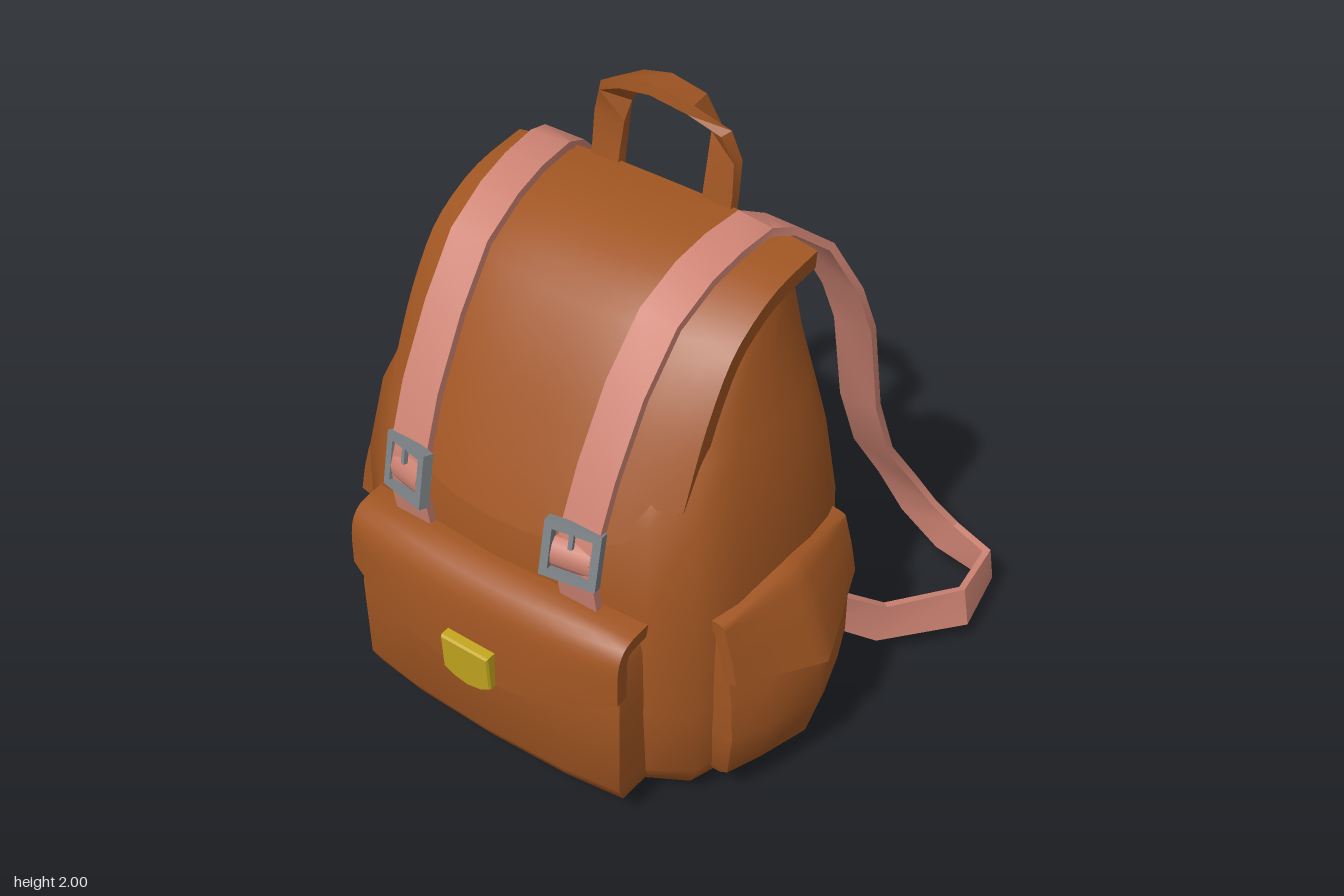
import * as THREE from 'three';
import { toCreasedNormals } from 'three/addons/utils/BufferGeometryUtils.js';

const material = (name, color) => {
  const m = new THREE.MeshStandardMaterial({ color });
  m.name = name;
  return m;
};
const V = (x, y, z) => new THREE.Vector3(x, y, z);

// Closed skin over rows of equal loops; each loop is a front half followed by a reversed back half.
function loft(rows, crease = 0.7) {
  const n = rows[0].length, pos = [], idx = [];
  rows.forEach(r => r.forEach(p => pos.push(p.x, p.y, p.z)));
  const quad = (a, b, c, d) => idx.push(a, b, c, a, c, d);
  for (let r = 0; r < rows.length - 1; r++) {
    for (let i = 0; i < n; i++) {
      const j = (i + 1) % n;
      quad(r * n + i, r * n + j, (r + 1) * n + j, (r + 1) * n + i);
    }
  }
  const last = (rows.length - 1) * n;
  for (let i = 0; i < n / 2 - 1; i++) {
    quad(n - 1 - i, n - 2 - i, i + 1, i);
    quad(last + i, last + i + 1, last + n - 2 - i, last + n - 1 - i);
  }
  // Turn the faces outward
  let volume = 0;
  const at = i => V(pos[i * 3], pos[i * 3 + 1], pos[i * 3 + 2]);
  for (let i = 0; i < idx.length; i += 3) volume += at(idx[i]).dot(at(idx[i + 1]).cross(at(idx[i + 2])));
  if (volume < 0) idx.reverse();
  const g = new THREE.BufferGeometry();
  g.setAttribute('position', new THREE.Float32BufferAttribute(pos, 3));
  g.setIndex(idx);
  return toCreasedNormals(g, crease);
}

// Flat band through points [x, y, z, width direction x, y, z]
function ribbon(points, half, thick) {
  const P = points.map(p => V(p[0], p[1], p[2]));
  return loft(points.map((p, i) => {
    const t = P[Math.min(i + 1, P.length - 1)].clone().sub(P[Math.max(i - 1, 0)]).normalize();
    const w = V(p[3] ?? 1, p[4] ?? 0, p[5] ?? 0);
    w.addScaledVector(t, -w.dot(t)).normalize();
    const n = t.clone().cross(w);
    const corner = (a, b) => P[i].clone().addScaledVector(w, a * half).addScaledVector(n, b * thick / 2);
    return [corner(-1, 1), corner(1, 1), corner(1, -1), corner(-1, -1)];
  }), 0.5);
}

// Thick lid that follows a [z, y] path; its sides fall away and its free edge is cut to a curve.
function flap(path, half, thick, drop, power, cut) {
  const curve = new THREE.CatmullRomCurve3(path.map(([z, y]) => V(0, y, z)));
  const nu = 16, nv = 14, rows = [];
  for (let j = 0; j <= nv; j++) {
    const outer = [], inner = [];
    for (let i = 0; i <= nu; i++) {
      const u = i / nu * 2 - 1, a = Math.abs(u), s = j / nv * (1 - cut(a));
      const t = curve.getTangentAt(s), n = V(0, t.z, -t.y);
      const p = curve.getPointAt(s).addScaledVector(n, -drop * (0.3 + 0.7 * s) * a ** power);
      p.x = u * half;
      outer.push(p);
      inner.unshift(p.clone().addScaledVector(n, -thick).setX(u * half * 0.99));
    }
    rows.push([...outer, ...inner]);
  }
  return loft(rows, 0.6);
}

// Bulging pouch from rows of [y, half width, depth]
function pouch(rows, edge, mid) {
  const us = [-1, -1, -0.6, 0, 0.6, 1, 1], fs = [0, edge, mid, 1, mid, edge, 0];
  return loft(rows.map(([y, w, d]) => [
    ...us.map((u, i) => V(u * w, y, fs[i] * d)),
    ...us.map(u => V(-u * w, y, -0.06)),
  ]), 0.75);
}

export function createModel() {
  const root = new THREE.Group();
  root.name = 'backpack';
  const leather = material('brown leather', 0xa05522);
  const webbing = material('pink strap', 0xcc8272);
  const steel = material('grey steel', 0x7e8488);
  const brass = material('yellow brass', 0xc2a51f);
  const add = (name, geometry, mat, parent = root) => {
    const m = new THREE.Mesh(geometry, mat);
    m.name = name;
    parent.add(m);
    return m;
  };

  // Body: horizontal sections as [y, half width, back z, front z]
  const levels = [
    [0, 0.12, 0.08, 0.25], [0.03, 0.5, -0.07, 0.54], [0.07, 0.63, -0.14, 0.62], [0.15, 0.665, -0.2, 0.66],
    [0.4, 0.68, -0.22, 0.68], [0.8, 0.67, -0.2, 0.675], [1.05, 0.63, -0.18, 0.62], [1.2, 0.585, -0.165, 0.53],
    [1.35, 0.535, -0.15, 0.4], [1.5, 0.5, -0.135, 0.25], [1.59, 0.48, -0.12, 0.1], [1.63, 0.45, -0.1, 0.02],
  ];
  const front = [[-1, 0.45], [-0.98, 0.68], [-0.92, 0.85], [-0.74, 0.94], [-0.37, 0.98], [0, 1]];
  const back = [[0, 0], [-0.45, 0], [-0.85, 0.01], [-0.92, 0.05], [-0.96, 0.14], [-0.99, 0.28]];
  const flip = list => list.slice(0, -1).reverse().map(([x, t]) => [-x, t]);
  const outline = [...front, ...flip(front), ...[...back.slice(1)].reverse().map(([x, t]) => [-x, t]), ...back];
  add('body', loft(levels.map(([y, w, zb, zf]) =>
    outline.map(([x, t]) => V(x * w, y, zb + (zf - zb) * t))), 0.8), leather);

  // Main lid
  add('topFlap', flap([[-0.11, 1.67], [0.08, 1.66], [0.2, 1.625], [0.33, 1.55], [0.46, 1.39],
    [0.575, 1.18], [0.65, 1.02], [0.685, 0.93]], 0.535, 0.06, 0.12, 3,
  a => 0.11 * a * a + 0.09 * a ** 8), leather);

  // Carry handle, twisting from flat legs to a flat grip
  const leg = [[0.2, 1.58, -0.1, 1, 0, 0], [0.2, 1.7, -0.12, 1, 0, 0], [0.2, 1.8, -0.135, 1, 0, 0.15],
    [0.185, 1.88, -0.135, 0.8, 0.1, 0.5], [0.115, 1.95, -0.115, 0.3, 0.1, 0.9]];
  const otherLeg = leg.map(([x, y, z, a, b, c]) => [-x, y, z, -a, b, c]).reverse();
  add('handle', ribbon([...leg, [0, 1.98, -0.1, 0, 0.1, 1], ...otherLeg], 0.05, 0.035), leather);

  // Front pocket with lid and clasp
  const frontPocket = new THREE.Group();
  frontPocket.name = 'frontPocket';
  frontPocket.position.z = 0.55;
  root.add(frontPocket);
  add('frontPouch', pouch([[0.06, 0.45, 0.1], [0.1, 0.48, 0.19], [0.16, 0.49, 0.225], [0.45, 0.495, 0.23],
    [0.64, 0.49, 0.22], [0.71, 0.47, 0.18], [0.75, 0.42, 0.1]], 0.82, 0.95), leather, frontPocket);
  add('frontPocketFlap', flap([[0.03, 0.775], [0.18, 0.765], [0.235, 0.71], [0.26, 0.56], [0.265, 0.415]],
    0.505, 0.05, 0.06, 3, a => 0.25 * a * a), leather, frontPocket);
  const plate = new THREE.Shape([[-0.085, 0.075], [0.085, 0.075], [0.085, -0.045], [0.05, -0.065],
    [0, -0.075], [-0.05, -0.065], [-0.085, -0.045]].map(([x, y]) => new THREE.Vector2(x, y)));
  const clasp = add('clasp', new THREE.ExtrudeGeometry(plate,
    { depth: 0.035, bevelEnabled: true, bevelSize: 0.004, bevelThickness: 0.008, bevelSegments: 1 }), brass, frontPocket);
  clasp.position.set(0.005, 0.468, 0.25);
  clasp.rotation.x = 0.06;

  // Side pockets
  for (const [name, s] of [['left', 1], ['right', -1]]) {
    const pocket = new THREE.Group();
    pocket.name = name + 'SidePocket';
    pocket.position.set(s * 0.6, 0, 0.18);
    pocket.rotation.y = s * Math.PI / 2;
    root.add(pocket);
    add(name + 'SidePouch', pouch([[0.08, 0.25, 0.07], [0.14, 0.285, 0.17], [0.3, 0.3, 0.215], [0.45, 0.305, 0.21],
      [0.6, 0.3, 0.165], [0.72, 0.29, 0.09], [0.755, 0.27, 0.05]], 0.5, 0.74), leather, pocket);
    add(name + 'SidePocketFlap', flap([[0.01, 0.78], [0.1, 0.77], [0.15, 0.69], [0.195, 0.58], [0.235, 0.465]],
      0.31, 0.045, 0.1, 1.2, a => 0.26 * a), leather, pocket);
  }

  // Straps: over the lid, down behind the back, looped outward and up to the bottom corner
  const strap = [
    [0.31, 0.78, 0.675], [0.31, 0.87, 0.69], [0.31, 0.95, 0.695], [0.315, 1.05, 0.66], [0.32, 1.2, 0.6],
    [0.325, 1.41, 0.48], [0.335, 1.575, 0.345], [0.345, 1.65, 0.2], [0.355, 1.68, 0.08], [0.365, 1.69, -0.05],
    [0.39, 1.65, -0.14], [0.43, 1.54, -0.265], [0.485, 1.37, -0.34], [0.49, 1.2, -0.415], [0.475, 0.85, -0.505],
    [0.47, 0.6, -0.615], [0.5, 0.41, -0.735, 1, 0.15, 0], [0.56, 0.27, -0.79, 0.8, 0.6, 0],
    [0.66, 0.17, -0.82, 0.2, 1, 0], [0.83, 0.145, -0.8, -0.2, 1, 0], [0.87, 0.145, -0.58, -0.25, 1, 0],
    [0.7, 0.15, -0.35, -0.1, 1, 0], [0.58, 0.27, -0.19, 0, 1, 0.2],
  ];
  // Buckle frame with a square opening
  const square = (w, h) => [[-w, -h], [w, -h], [w, h], [-w, h]].map(([x, y]) => new THREE.Vector2(x, y));
  const frame = new THREE.Shape(square(0.088, 0.09));
  frame.holes.push(new THREE.Path(square(0.063, 0.066)));
  const frameGeometry = new THREE.ExtrudeGeometry(frame, { depth: 0.035, bevelEnabled: false });

  for (const [name, s] of [['left', 1], ['right', -1]]) {
    add(name + 'Strap', ribbon(strap.map(([x, y, z, a = 1, b = 0, c = 0]) => [s * x, y, z, s * a, b, c]),
      0.066, 0.026), webbing);
    const buckle = new THREE.Group();
    buckle.name = name + 'Buckle';
    buckle.position.set(s * 0.3, 0.965, 0.685);
    buckle.rotation.set(-0.2, s * 0.22, 0);
    root.add(buckle);
    add('buckleFrame', frameGeometry, steel, buckle);
    add('bucklePin', new THREE.BoxGeometry(0.014, 0.05, 0.014), steel, buckle).position.set(0, 0.048, 0.034);
    // Folded strap end inside the frame
    const fold = add('strapFold', new THREE.CylinderGeometry(0.05, 0.05, 0.12, 10), webbing, buckle);
    fold.rotation.z = Math.PI / 2;
    fold.scale.z = 0.6;
    fold.position.set(0, -0.015, 0.005);
  }
  return root;
}
